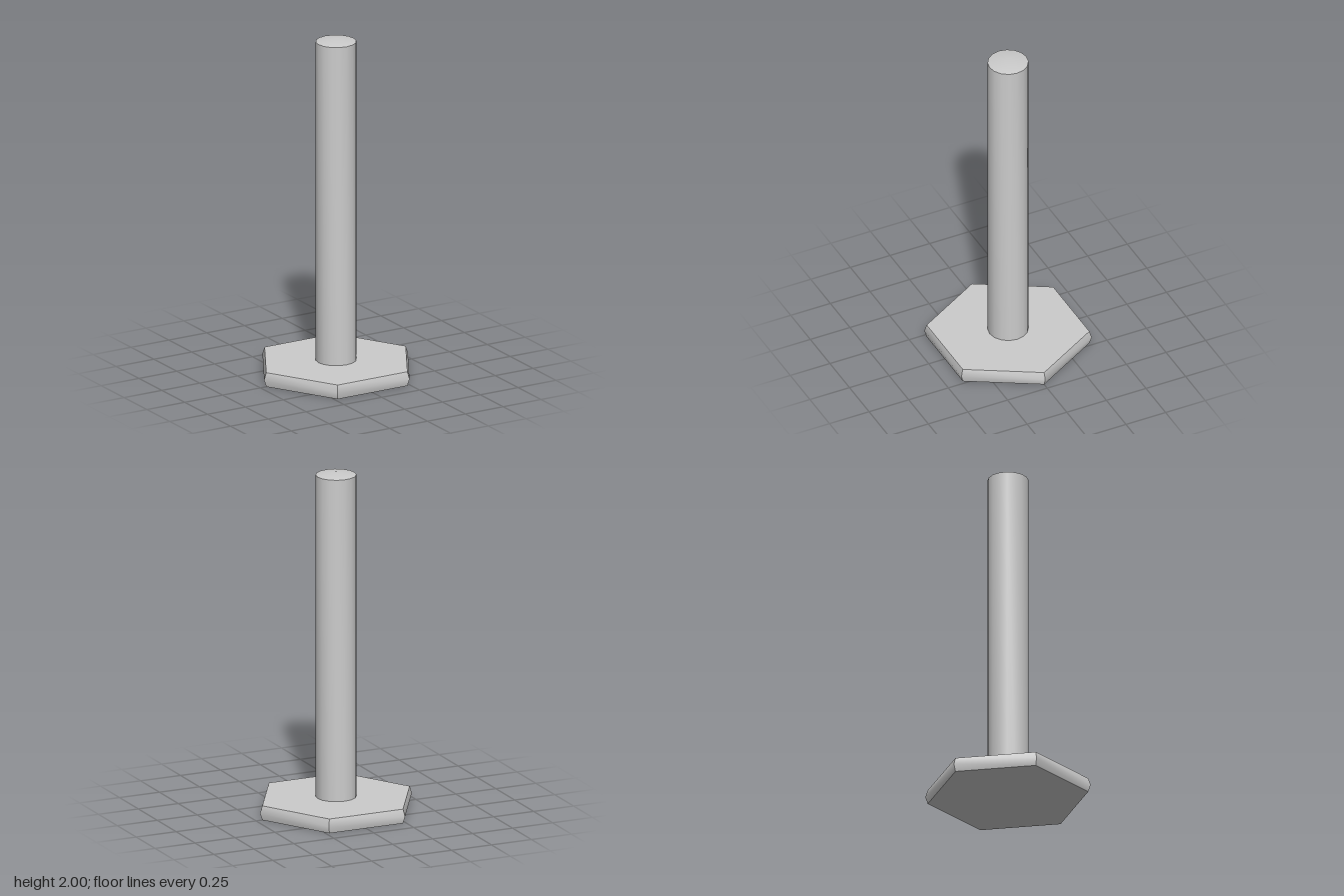
import * as THREE from 'three';
import { toCreasedNormals } from 'three/addons/utils/BufferGeometryUtils.js';

const material = new THREE.MeshStandardMaterial({ color: 0xcccccc });

// Revolve a [radius, height] profile; corners start on the x axis
function turned(name, profile, sides) {
  const points = profile.map(([r, y]) => new THREE.Vector2(r, y));
  const geometry = new THREE.LatheGeometry(points, sides, Math.PI / 2);
  const mesh = new THREE.Mesh(toCreasedNormals(geometry, 0.8), material);
  mesh.name = name;
  return mesh;
}

export function createModel() {
  const model = new THREE.Group();
  model.name = 'hexBasePost';

  // Hexagonal plate whose walls swell slightly at mid height
  model.add(turned('hexBase', [[0, 0], [0.461, 0], [0.475, 0.042], [0.461, 0.084], [0, 0.084]], 6));

  // Round post with a shallow conical tip
  model.add(turned('post', [[0, 0.06], [0.116, 0.06], [0.116, 1.98], [0, 2]], 16));

  return model;
}
